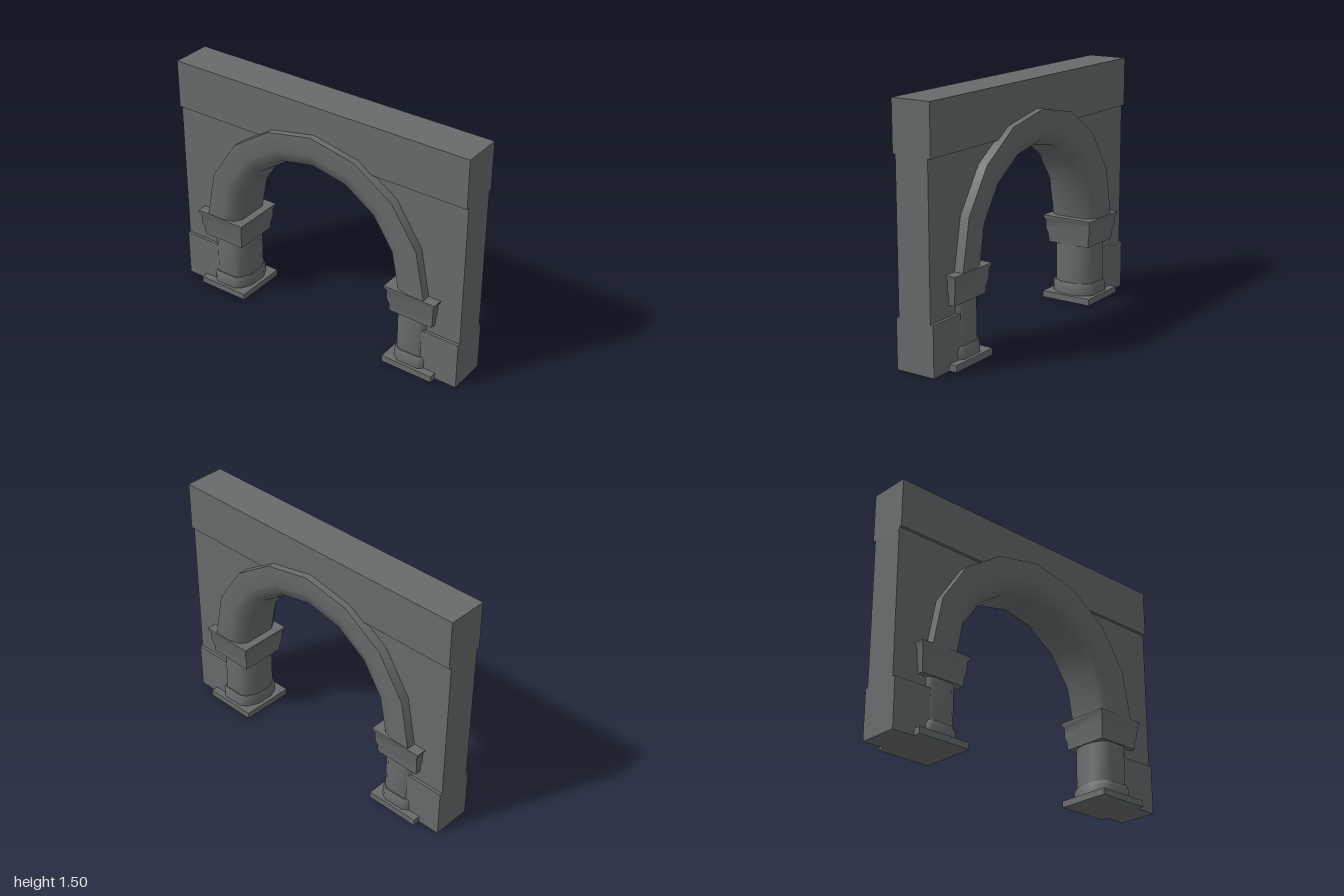
import * as THREE from 'three';
import { toCreasedNormals } from 'three/addons/utils/BufferGeometryUtils.js';

const stone = new THREE.MeshStandardMaterial({ color: 0x666b6c });
stone.name = 'grey stone';

// Skin through closed rings of [x, y, z] points, with flat end caps
function loft(rings) {
  const n = rings[0].length, last = (rings.length - 1) * n, index = [];
  for (let i = 0; i < rings.length - 1; i++) {
    for (let j = 0; j < n; j++) {
      const k = (j + 1) % n;
      const a = i * n + j, b = i * n + k, c = a + n, d = b + n;
      index.push(a, b, d, a, d, c);
    }
  }
  for (let j = 1; j < n - 1; j++) {
    index.push(0, j + 1, j);
    index.push(last, last + j, last + j + 1);
  }
  const geo = new THREE.BufferGeometry();
  geo.setAttribute('position', new THREE.Float32BufferAttribute(rings.flat(2), 3));
  geo.setIndex(index);
  return toCreasedNormals(geo, 0.95);
}

// Complete a front half section by mirroring it to the back
const mirrorZ = (half) => [...half, ...half.map(([u, z]) => [u, -z]).reverse()];

function add(parent, name, geo, x = 0, y = 0, z = 0) {
  const mesh = new THREE.Mesh(geo, stone);
  mesh.name = name;
  mesh.position.set(x, y, z);
  parent.add(mesh);
}

function makeColumn() {
  const column = new THREE.Group();
  const cx = 0.667;

  add(column, 'plinth', new THREE.BoxGeometry(0.34, 0.04, 0.34), 0.69, 0.02, 0);

  // Rounded shaft section, fuller on the wall side
  const section = mirrorZ([
    [0.555, 0.05], [0.585, 0.11], [0.62, 0.135], [0.745, 0.135], [0.78, 0.105],
  ]);
  const ring = (y, sx, sz) => section.map(([x, z]) => [cx + (x - cx) * sx, y, z * sz]);
  add(column, 'columnBase', loft([ring(0.04, 1.1, 1.12), ring(0.09, 1.1, 1.12), ring(0.115, 1.04, 1.05)]));
  add(column, 'shaft', loft([ring(0.1, 1, 1), ring(0.38, 1, 1)]));

  // Flaring capital: height, half width, half depth
  const steps = [
    [0.365, 0.143, 0.143], [0.41, 0.147, 0.145], [0.45, 0.155, 0.157],
    [0.51, 0.157, 0.16], [0.53, 0.17, 0.17], [0.54, 0.17, 0.17],
  ];
  add(column, 'capital', loft(steps.map(([y, w, d]) => [
    [0.69 - w, y, d], [0.69 + w, y, d], [0.69 + w, y, -d], [0.69 - w, y, -d],
  ])));
  return column;
}

export function createModel() {
  const model = new THREE.Group();
  model.name = 'stoneArch';
  const spring = 0.54;

  // Recessed middle wall with the arched opening
  const wall = new THREE.Shape();
  wall.moveTo(0.65, 0.3);
  wall.lineTo(1, 0.3);
  wall.lineTo(1, 1.2);
  wall.lineTo(-1, 1.2);
  wall.lineTo(-1, 0.3);
  wall.lineTo(-0.65, 0.3);
  wall.lineTo(-0.65, spring);
  wall.absarc(0, spring, 0.65, Math.PI, 0, true);
  wall.closePath();
  const wallGeo = new THREE.ExtrudeGeometry(wall, { depth: 0.214, bevelEnabled: false, curveSegments: 16 });
  add(model, 'wall', wallGeo, 0, 0, -0.107);

  // Projecting bands at the top and the foot
  add(model, 'topBand', new THREE.BoxGeometry(2, 0.3, 0.25), 0, 1.35, 0);
  for (const side of [1, -1]) {
    add(model, side > 0 ? 'leftFootBlock' : 'rightFootBlock',
      new THREE.BoxGeometry(0.34, 0.3, 0.25), side * 0.83, 0.15, 0);
  }

  // Arch moulding in eight segments
  const section = mirrorZ([[0.57, 0.1], [0.6, 0.145], [0.67, 0.165], [0.783, 0.165]]);
  const rings = [];
  for (let i = 0; i <= 8; i++) {
    const a = (i / 8) * Math.PI;
    rings.push(section.map(([r, z]) => [r * Math.cos(a), spring + r * Math.sin(a), z]));
  }
  add(model, 'arch', loft(rings));

  // Matching columns
  const left = makeColumn();
  left.name = 'leftColumn';
  const right = makeColumn();
  right.name = 'rightColumn';
  right.rotation.y = Math.PI;
  model.add(left, right);
  return model;
}
